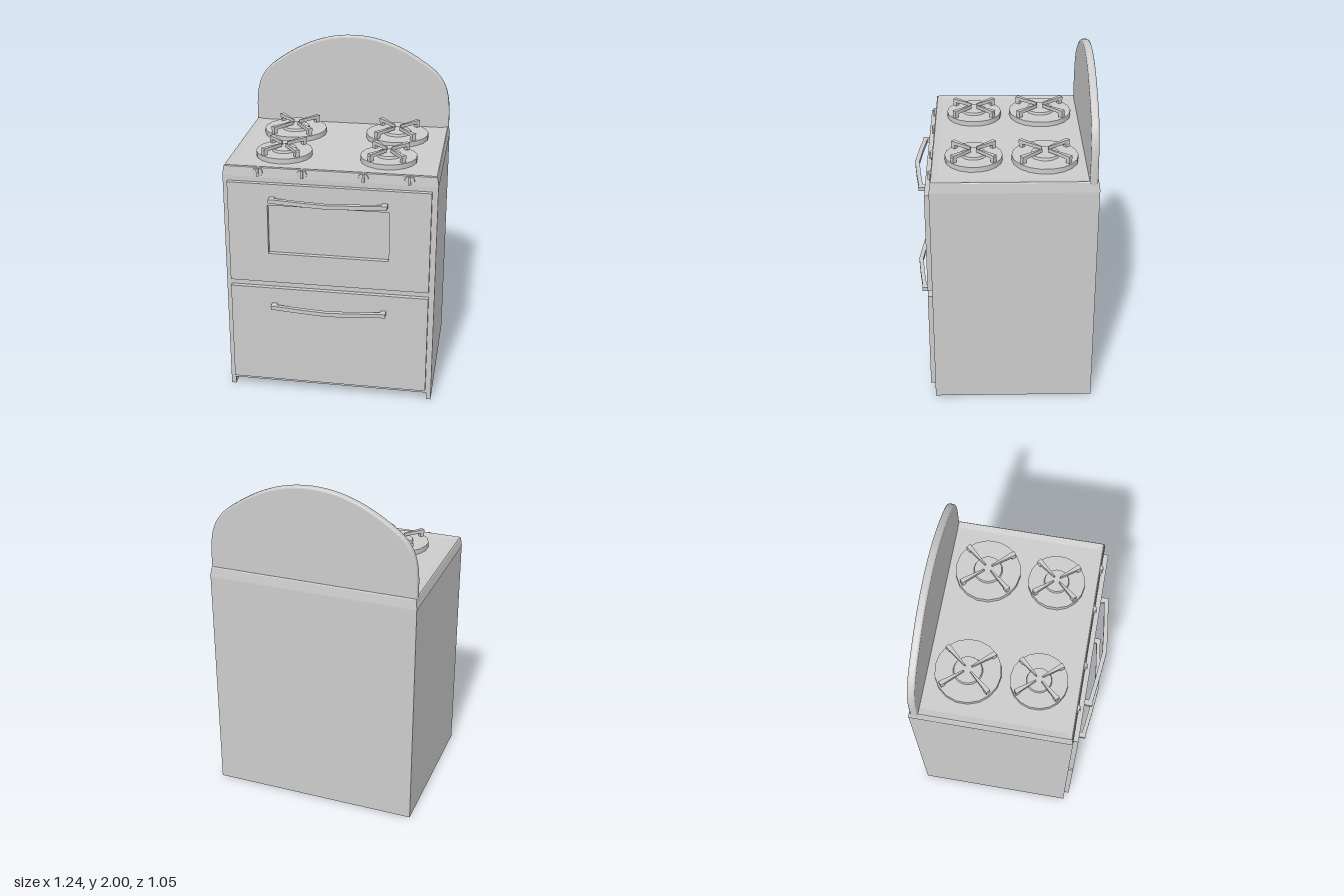
import * as THREE from 'three';

const grey = new THREE.MeshStandardMaterial({ color: 0xcccccc });

function add(parent, name, geometry, x = 0, y = 0, z = 0) {
  const mesh = new THREE.Mesh(geometry, grey);
  mesh.name = name;
  mesh.position.set(x, y, z);
  parent.add(mesh);
  return mesh;
}

// Box given by its limits on each axis
function boxBetween(parent, name, [x0, x1], [y0, y1], [z0, z1]) {
  return add(parent, name, new THREE.BoxGeometry(x1 - x0, y1 - y0, z1 - z0),
    (x0 + x1) / 2, (y0 + y1) / 2, (z0 + z1) / 2);
}

function polygon(points) {
  return new THREE.Shape(points.map(([x, y]) => new THREE.Vector2(x, y)));
}

const rectangle = (x0, x1, y0, y1) => polygon([[x0, y0], [x1, y0], [x1, y1], [x0, y1]]);

// Flat plan shape (x, z) given an upward thickness
function extrudeUp(points, height) {
  const geometry = new THREE.ExtrudeGeometry(
    polygon(points.map(([x, z]) => [x, -z])), { depth: height, bevelEnabled: false });
  return geometry.rotateX(-Math.PI / 2);
}

// Stack of rectangular loops [halfX, zBack, zFront, y], closed by the last loop
function rectangularLoft(loops) {
  const positions = [];
  const corners = ([hx, zb, zf, y]) => [[-hx, y, zf], [hx, y, zf], [hx, y, zb], [-hx, y, zb]];
  for (let i = 0; i < loops.length - 1; i++) {
    const low = corners(loops[i]), high = corners(loops[i + 1]);
    for (let k = 0; k < 4; k++) {
      const n = (k + 1) % 4;
      positions.push(...low[k], ...low[n], ...high[n], ...low[k], ...high[n], ...high[k]);
    }
  }
  const [a, b, c, d] = corners(loops[loops.length - 1]);
  positions.push(...a, ...b, ...c, ...a, ...c, ...d);
  const geometry = new THREE.BufferGeometry();
  geometry.setAttribute('position', new THREE.Float32BufferAttribute(positions, 3));
  geometry.computeVertexNormals();
  return geometry;
}

// Bowed bar on two short posts
function makeHandle(name, y) {
  const handle = new THREE.Group();
  handle.name = name;
  const outline = [
    [-0.34, 0.44], [-0.308, 0.44], [-0.308, 0.464], [-0.16, 0.483], [0, 0.498],
    [0.16, 0.483], [0.308, 0.464], [0.308, 0.44], [0.34, 0.44], [0.34, 0.489],
    [0.308, 0.489], [0.16, 0.508], [0, 0.524], [-0.16, 0.508], [-0.308, 0.489], [-0.34, 0.489],
  ];
  add(handle, 'handleBar', extrudeUp(outline, 0.024), 0, y - 0.012, 0);
  return handle;
}

// Round plate, central cap and four tapered grate arms
function makeBurner(radius) {
  const burner = new THREE.Group();
  burner.name = 'burner';
  const k = radius / 0.19;
  add(burner, 'burnerPlate', new THREE.CylinderGeometry(radius, radius, 0.03, 18), 0, 0.012, 0);
  add(burner, 'burnerCap', new THREE.CylinderGeometry(0.08 * k, 0.085 * k, 0.016, 18), 0, 0.034, 0);
  for (const degrees of [50, 130, 230, 310]) {
    const arm = new THREE.Group();
    arm.name = 'grateArm';
    arm.rotation.y = THREE.MathUtils.degToRad(degrees);
    const wedge = [[0.025 * k, -0.003], [0.18 * k, -0.014], [0.18 * k, 0.014], [0.025 * k, 0.003]];
    add(arm, 'grateBar', extrudeUp(wedge, 0.02), 0, 0.05, 0);
    add(arm, 'grateLeg', new THREE.BoxGeometry(0.025, 0.036, 0.024), 0.167 * k, 0.038, 0);
    burner.add(arm);
  }
  return burner;
}

// Disc with a raised vertical grip
function makeKnob() {
  const knob = new THREE.Group();
  knob.name = 'knob';
  add(knob, 'knobDisc', new THREE.CylinderGeometry(0.028, 0.03, 0.012, 16).rotateX(Math.PI / 2));
  add(knob, 'knobGrip', new THREE.BoxGeometry(0.014, 0.046, 0.012), 0, 0, 0.008);
  return knob;
}

export function createModel() {
  const stove = new THREE.Group();
  stove.name = 'stove';

  // Cabinet, raised on side and back skirts, open below the front
  const W = 0.618, back = -0.522, front = 0.415;
  boxBetween(stove, 'cabinet', [-W, W], [0.045, 1.385], [back, front]);
  for (const side of [-1, 1]) {
    boxBetween(stove, 'sideSkirt', side < 0 ? [-W, -0.59] : [0.59, W], [0, 0.045], [back, front]);
  }
  boxBetween(stove, 'backSkirt', [-0.59, 0.59], [0, 0.045], [back, back + 0.028]);

  // Cooktop with sloped sides and a shallow pan
  add(stove, 'cooktop', rectangularLoft([
    [0.62, -0.525, 0.415, 1.385],
    [0.611, -0.516, 0.409, 1.44],
    [0.607, -0.512, 0.404, 1.445],
    [0.57, -0.475, 0.368, 1.438],
  ]));

  // Oven door with window opening, and the drawer under it
  const door = rectangle(-0.588, 0.585, 0.735, 1.355);
  door.holes.push(rectangle(-0.355, 0.35, 0.92, 1.225));
  add(stove, 'ovenDoor', new THREE.ExtrudeGeometry(door, { depth: 0.028, bevelEnabled: false }), 0, 0, front);
  boxBetween(stove, 'drawer', [-0.588, 0.585], [0.072, 0.695], [front, 0.443]);
  stove.add(makeHandle('doorHandle', 1.267), makeHandle('drawerHandle', 0.585));

  // Arched backsplash with softened edges
  const bevel = 0.012;
  const arch = new THREE.Shape();
  arch.moveTo(-0.602, 1.43);
  arch.lineTo(0.602, 1.43);
  arch.lineTo(0.602, 1.5);
  arch.bezierCurveTo(0.602, 1.66, 0.575, 1.74, 0.48, 1.81);
  arch.bezierCurveTo(0.33, 1.92, 0.18, 1.988, 0, 1.988);
  arch.bezierCurveTo(-0.18, 1.988, -0.33, 1.92, -0.48, 1.81);
  arch.bezierCurveTo(-0.575, 1.74, -0.602, 1.66, -0.602, 1.5);
  add(stove, 'backsplash', new THREE.ExtrudeGeometry(arch, {
    depth: 0.02, bevelEnabled: true, bevelSize: bevel, bevelThickness: bevel, bevelSegments: 3, curveSegments: 12,
  }), 0, 0, -0.498);

  // Two large rear burners, two smaller front burners
  for (const [z, radius, xs] of [[-0.235, 0.19, [-0.315, 0.315]], [0.17, 0.165, [-0.305, 0.31]]]) {
    for (const x of xs) {
      const burner = makeBurner(radius);
      burner.position.set(x, 1.443, z);
      stove.add(burner);
    }
  }

  // Knobs along the front edge
  for (const x of [-0.412, -0.156, 0.195, 0.456]) {
    const knob = makeKnob();
    knob.position.set(x, 1.414, 0.412);
    stove.add(knob);
  }
  return stove;
}
